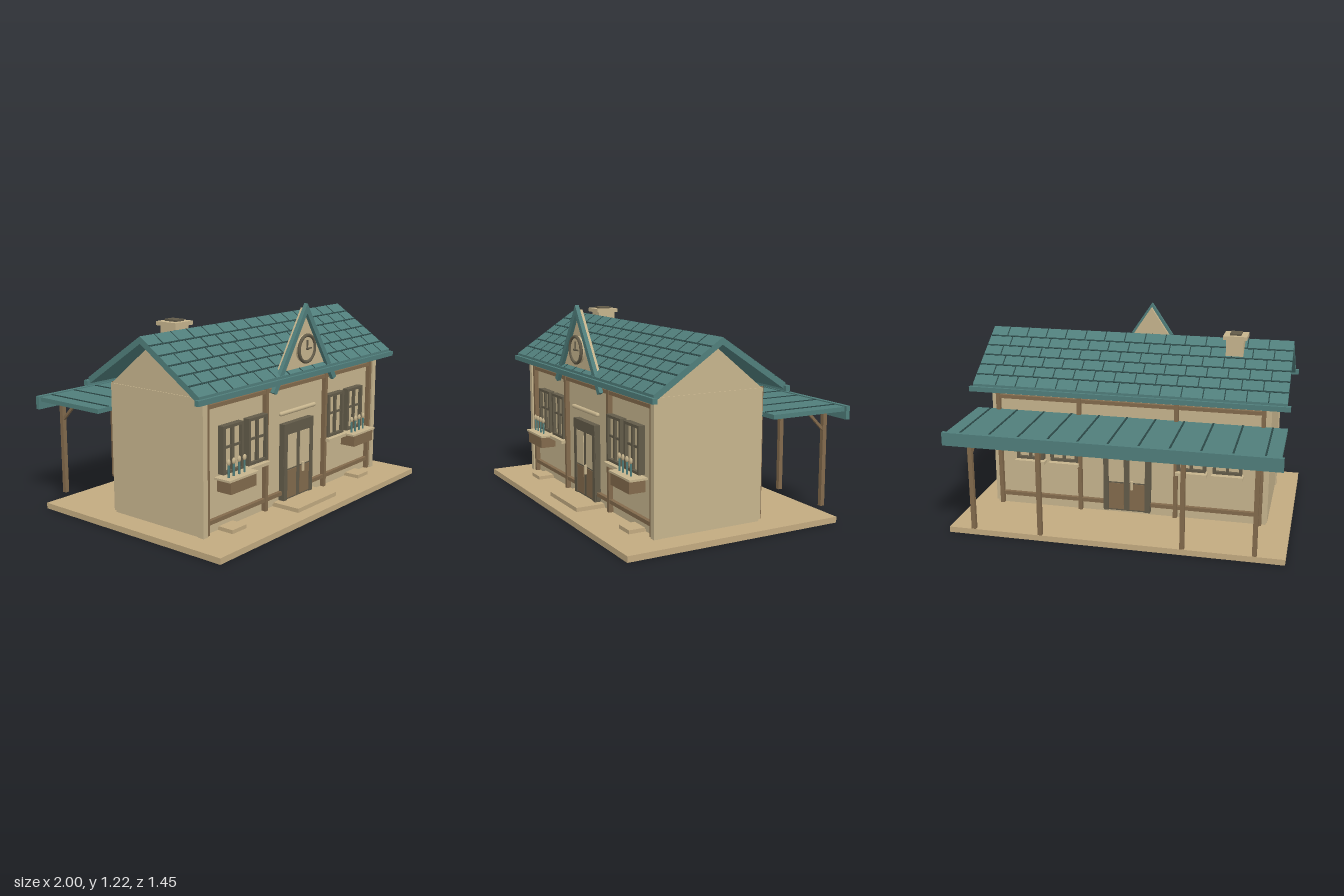
import * as THREE from 'three';

const mat = (name, color) => {
  const m = new THREE.MeshStandardMaterial({ color });
  m.name = name;
  return m;
};

export function createModel() {
  const cream = mat('cream wall', 0xc6b48d);
  const stone = mat('platform stone', 0xc2aa80);
  const timber = mat('timber brown', 0x826a4c);
  const dark = mat('dark frame', 0x625b49);
  const teal = mat('roof teal', 0x507e7b);
  const seam = mat('roof seam', 0x2b4746);
  const model = new THREE.Group();
  model.name = 'station';

  const add = (parent, name, geo, m, x = 0, y = 0, z = 0) => {
    const mesh = new THREE.Mesh(geo, m);
    mesh.name = name;
    mesh.position.set(x, y, z);
    parent.add(mesh);
    return mesh;
  };
  // box given by its low and high limits on each axis
  const box = (parent, name, m, x0, x1, y0, y1, z0, z1) => add(parent, name,
    new THREE.BoxGeometry(x1 - x0, y1 - y0, z1 - z0), m, (x0 + x1) / 2, (y0 + y1) / 2, (z0 + z1) / 2);
  const extrude = (pts, depth) => new THREE.ExtrudeGeometry(
    new THREE.Shape(pts.map(p => new THREE.Vector2(...p))), { depth, bevelEnabled: false });
  // profile in (z, y), extruded along x and centred
  const alongX = (pts, width) => extrude(pts, width).rotateY(-Math.PI / 2).translate(width / 2, 0, 0);
  const group = (name, parent = model) => {
    const g = new THREE.Group();
    g.name = name;
    parent.add(g);
    return g;
  };

  // ground slab, step and paving
  box(model, 'platform', stone, -1, 1, 0, 0.035, -0.63, 0.72);
  box(model, 'frontStep', stone, -0.2, 0.195, 0.035, 0.06, 0.44, 0.635);
  for (const s of [-1, 1])
    box(model, 'pavingSlab', stone, s * 0.64 - 0.06, s * 0.64 + 0.06, 0.035, 0.057, 0.45, 0.555);

  // house body with gable ends
  box(model, 'houseBody', cream, -0.86, 0.86, 0.05, 0.8, -0.195, 0.455);
  box(model, 'plinth', cream, -0.85, 0.85, 0.035, 0.05, -0.19, 0.45);
  add(model, 'gableEnds', alongX([[0.45, 0.8], [0.13, 1.06], [-0.19, 0.8]], 1.71), cream);
  for (const s of [-1, 1])
    box(model, 'cornerPilaster', cream, s * 0.848 - 0.018, s * 0.848 + 0.018, 0.04, 0.8, 0.45, 0.492);

  const windowUnit = (parent, x) => {
    const g = group('window', parent);
    g.position.set(x, 0.49, 0);
    box(g, 'pane', cream, -0.08, 0.08, -0.13, 0.13, 0, 0.02);
    for (const s of [-1, 1]) {
      box(g, 'frameSide', dark, s * 0.078 - 0.009, s * 0.078 + 0.009, -0.135, 0.135, 0, 0.04);
      box(g, 'frameRail', dark, -0.087, 0.087, s * 0.127 - 0.008, s * 0.127 + 0.008, 0, 0.04);
    }
    box(g, 'mullion', dark, -0.009, 0.009, -0.13, 0.13, 0, 0.035);
    box(g, 'crossBar', dark, -0.08, 0.08, 0.005, 0.018, 0, 0.03);
  };

  const doubleDoor = (parent) => {
    const g = group('door', parent);
    box(g, 'doorFrame', dark, -0.147, 0.147, 0.06, 0.525, 0, 0.03);
    for (const s of [-1, 1]) {
      box(g, 'doorGlass', cream, s * 0.066 - 0.047, s * 0.066 + 0.047, 0.25, 0.455, 0.028, 0.034);
      box(g, 'doorPanel', timber, s * 0.066 - 0.047, s * 0.066 + 0.047, 0.07, 0.24, 0.028, 0.034);
      box(g, 'jamb', dark, s * 0.13 - 0.016, s * 0.13 + 0.016, 0.06, 0.525, 0, 0.038);
    }
    box(g, 'lintel', dark, -0.147, 0.147, 0.465, 0.525, 0, 0.038);
    add(g, 'handle', new THREE.CylinderGeometry(0.009, 0.009, 0.055, 10), cream, 0.033, 0.237, 0.045);
  };

  // one long wall, facing +z from its own origin
  const facade = (name, front) => {
    const g = group(name);
    for (const s of [-1, 1]) {
      for (const x of [0.815, 0.3])
        box(g, 'timberPost', timber, s * x - 0.012, s * x + 0.012, 0.04, 0.8, 0, 0.028);
      const lo = Math.min(s * 0.147, s * 0.82), hi = Math.max(s * 0.147, s * 0.82);
      box(g, 'lowerRail', timber, lo, hi, 0.095, 0.118, 0, 0.024);
      for (const x of [0.615, 0.397]) windowUnit(g, s * x);
      box(g, 'windowSill', cream, s * 0.397 - 0.095, s * 0.397 + 0.095, 0.328, 0.347, 0, 0.055);
      if (!front)
        box(g, 'windowSill', cream, s * 0.615 - 0.095, s * 0.615 + 0.095, 0.328, 0.347, 0, 0.055);
    }
    box(g, 'upperRail', timber, -0.82, 0.82, 0.735, 0.757, 0, 0.024);
    doubleDoor(g);
    return g;
  };
  const front = facade('frontWall', true);
  front.position.z = 0.455;
  const back = facade('backWall', false);
  back.position.z = -0.195;
  back.rotation.y = Math.PI;
  const plank = add(front, 'doorPlank', new THREE.CapsuleGeometry(0.013, 0.335, 4, 12), cream, 0, 0.592, 0.025);
  plank.rotation.z = Math.PI / 2;

  // flower boxes
  for (const s of [-1, 1]) {
    const g = group('flowerBox');
    g.position.set(s * 0.615, 0, 0.525);
    box(g, 'planter', timber, -0.11, 0.11, 0.265, 0.335, -0.06, 0.04);
    box(g, 'planterRim', cream, -0.127, 0.127, 0.335, 0.347, -0.065, 0.045);
    for (const x of [-0.082, -0.038, 0.008, 0.055]) {
      add(g, 'stem', new THREE.CylinderGeometry(0.006, 0.006, 0.08, 8), teal, x, 0.385, 0);
      add(g, 'blossom', new THREE.SphereGeometry(0.013, 10, 8).scale(1, 1.4, 0.7), cream, x, 0.432, 0);
    }
  }

  // main roof
  const slope = 0.66, run = 0.41, ridgeY = 1.105, midZ = 0.13, t = 0.04;
  const eaveY = ridgeY - slope * run;
  add(model, 'roof', alongX([[midZ - run, eaveY - t], [midZ, ridgeY - t], [midZ + run, eaveY - t],
    [midZ + run, eaveY], [midZ, ridgeY], [midZ - run, eaveY]], 1.9), teal);
  const length = Math.hypot(run, slope * run), rows = 6, cols = 15;
  for (const s of [-1, 1]) {
    // tile seams laid on each slope; local z runs down the slope
    const tilt = group('roofTiles');
    tilt.position.set(0, ridgeY, midZ);
    tilt.rotation.y = s > 0 ? 0 : Math.PI;
    const g = group('tileSeams', tilt);
    g.rotation.x = Math.atan(slope);
    for (let r = 0; r < rows; r++) {
      const z0 = r * length / rows, z1 = z0 + length / rows;
      if (r) box(g, 'rowSeam', seam, -0.95, 0.95, -0.003, 0.002, z0 - 0.005, z0 + 0.005);
      for (let c = 1; c < cols; c++) {
        const x = -0.95 + (c + (r % 2 ? 0.15 : -0.15)) * 1.9 / cols;
        box(g, 'tileSeam', seam, x - 0.003, x + 0.003, -0.003, 0.002, z0, z1);
      }
    }
    const z = midZ + s * 0.413;
    box(model, 'eaveGutter', teal, -0.97, 0.97, 0.79, 0.82, z - 0.014, z + 0.014);
  }

  // chimney
  box(model, 'chimneyStack', cream, -0.66, -0.555, 0.98, 1.125, 0.004, 0.117);
  box(model, 'chimneyCap', cream, -0.68, -0.537, 1.122, 1.145, -0.01, 0.135);
  box(model, 'chimneyFlue', dark, -0.642, -0.575, 1.145, 1.156, 0.02, 0.103);

  // front gable with barge boards and clock
  add(model, 'frontGable', extrude([[-0.262, 0.8], [0.262, 0.8], [0, 1.195]], 0.026), cream, 0, 0, 0.49);
  add(model, 'bargeBoards', extrude([[0, 1.222], [-0.318, 0.75], [-0.287, 0.735], [0, 1.165],
    [0.287, 0.735], [0.318, 0.75]], 0.024), teal, 0, 0, 0.514);
  const clock = group('clock');
  clock.position.set(0, 0.96, 0.516);
  const disc = (name, r, m, z1) => add(clock, name,
    new THREE.CylinderGeometry(r, r, z1, 36).rotateX(Math.PI / 2), m, 0, 0, z1 / 2);
  disc('clockFace', 0.08, cream, 0.022);
  add(clock, 'clockRim', new THREE.TorusGeometry(0.078, 0.01, 10, 40), dark, 0, 0, 0.022);
  box(clock, 'minuteHand', dark, -0.004, 0.004, 0, 0.05, 0.022, 0.028);
  box(clock, 'hourHand', dark, 0, 0.042, -0.004, 0.004, 0.022, 0.028);
  disc('clockHub', 0.008, dark, 0.034);

  // rear canopy
  const canopy = group('canopy');
  box(canopy, 'canopyRoof', teal, -0.955, 0.955, 0.636, 0.662, -0.71, -0.205);
  box(canopy, 'canopyFascia', teal, -0.97, 0.97, 0.59, 0.668, -0.726, -0.7);
  for (let i = 0; i < 11; i++) {
    const x = -0.87 + i * 0.174;
    box(canopy, 'canopySeam', seam, x - 0.005, x + 0.005, 0.66, 0.666, -0.7, -0.21);
  }
  for (const x of [-0.83, -0.42, 0.42, 0.83]) {
    box(canopy, 'canopyPost', timber, x - 0.013, x + 0.013, 0.055, 0.637, -0.668, -0.642);
    const brace = add(canopy, 'canopyBrace', new THREE.BoxGeometry(0.015, 0.185, 0.015), timber, x, 0.573, -0.588);
    brace.rotation.x = Math.PI / 4;
  }
  return model;
}
